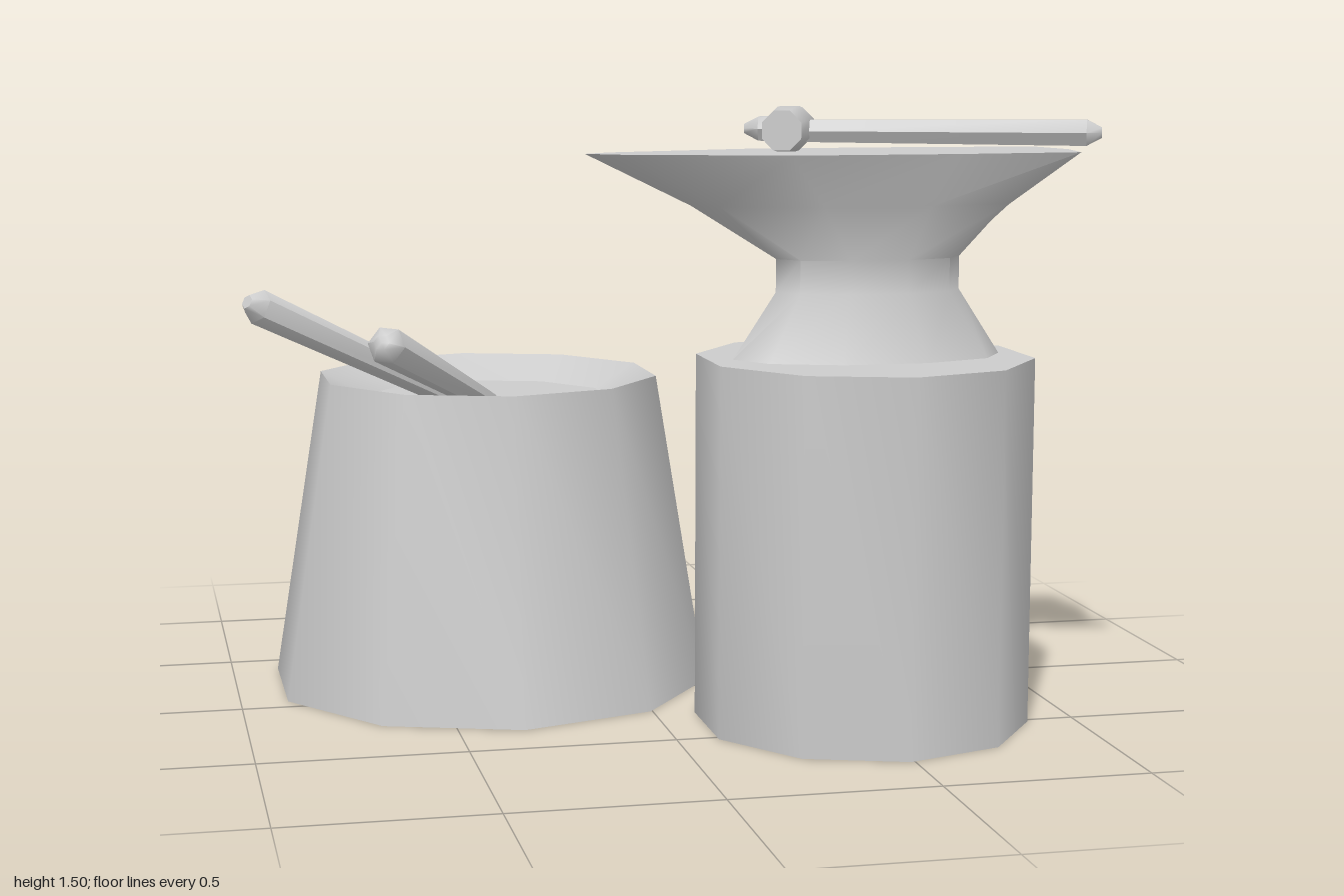
import * as THREE from 'three';
import { toCreasedNormals } from 'three/addons/utils/BufferGeometryUtils.js';

const material = new THREE.MeshStandardMaterial({ color: 0xcccccc, side: THREE.DoubleSide });
const CREASE = 1.0;

function part(name, geometry) {
  const mesh = new THREE.Mesh(toCreasedNormals(geometry, CREASE), material);
  mesh.name = name;
  return mesh;
}

// Turned shape from [radius, height] pairs
function turned(name, profile, sides) {
  const points = profile.map(([r, y]) => new THREE.Vector2(r, y));
  return part(name, new THREE.LatheGeometry(points, sides));
}

// Tapered round rod from one point to another, with a pointed far end
function rod(name, from, to, r0, r1, sides = 6) {
  const a = new THREE.Vector3(...from);
  const dir = new THREE.Vector3(...to).sub(a);
  const len = dir.length();
  const mesh = turned(name, [[0, 0], [r0, 0], [r1, len - 0.035], [r1 * 0.4, len], [0, len]], sides);
  mesh.position.copy(a);
  mesh.quaternion.setFromUnitVectors(new THREE.Vector3(0, 1, 0), dir.normalize());
  return mesh;
}

// Anvil: stacked ten-sided loops, round at the foot, horned at the face
function anvilGeometry() {
  const half = [[1.0, 0], [0.97, 0.16], [0.66, 0.19], [0.25, 0.19], [-0.13, 0.06], [-0.2, 0]];
  const face = [...half, ...half.slice(1, 5).reverse().map(([x, z]) => [x, -z])];
  const oval = (hx, hz) => face.map((_, i) => {
    const t = (i / 10) * Math.PI * 2;
    return [0.495 + hx * Math.cos(t), hz * Math.sin(t) / 0.951];
  });
  const waist = oval(0.23, 0.097);
  const flare = waist.map(([x, z], i) => [
    THREE.MathUtils.lerp(x, face[i][0], 0.45),
    THREE.MathUtils.lerp(z, face[i][1], 0.45),
  ]);
  const loops = [[oval(0.335, 0.16), 0.9], [waist, 1.06], [waist, 1.14], [flare, 1.27], [face, 1.395]];

  const positions = [];
  const index = [];
  loops.forEach(([loop, y]) => loop.forEach(([x, z]) => positions.push(x, y, 0.395 + z)));
  for (let r = 0; r < loops.length - 1; r++) {
    for (let i = 0; i < 10; i++) {
      const a = r * 10 + i;
      const b = r * 10 + (i + 1) % 10;
      index.push(a, a + 10, b, b, a + 10, b + 10);
    }
  }
  // Flat working face
  const top = (loops.length - 1) * 10;
  const centre = positions.length / 3;
  positions.push(0.45, 1.395, 0.395);
  for (let i = 0; i < 10; i++) index.push(centre, top + (i + 1) % 10, top + i);

  const geometry = new THREE.BufferGeometry();
  geometry.setAttribute('position', new THREE.Float32BufferAttribute(positions, 3));
  geometry.setIndex(index);
  return geometry;
}

function createHammer() {
  const hammer = new THREE.Group();
  hammer.name = 'hammer';
  const head = turned('hammerHead', [
    [0, -0.135], [0.05, -0.135], [0.057, -0.03], [0.057, 0.04], [0.05, 0.135], [0, 0.135],
  ], 8);
  head.geometry.rotateY(Math.PI / 8);
  head.geometry.rotateX(Math.PI / 2);
  hammer.add(head);
  // Handle runs through the head and shows as a stub behind it
  hammer.add(rod('hammerHandle', [0.03, -0.005, 0], [0.735, -0.005, 0], 0.03, 0.035));
  hammer.add(rod('handleStub', [0, 0, 0], [-0.105, 0, 0], 0.035, 0.033));
  hammer.position.set(0.295, 1.45, 0.388);
  hammer.rotation.y = -0.385;
  return hammer;
}

export function createModel() {
  const model = new THREE.Group();
  model.name = 'forgeSet';

  // Quenching tub, open below, with an inner lining
  const tub = new THREE.Group();
  tub.name = 'quenchTub';
  tub.position.set(-0.34, 0, -0.23);
  tub.add(turned('tubWall', [[0.57, 0], [0.44, 0.8], [0.32, 0.74]], 10));
  tub.add(turned('tubLining', [[0.41, 0], [0.32, 0.74]], 10));
  tub.add(turned('water', [[0.32, 0.74], [0, 0.74]], 10));
  model.add(tub);

  // Tong handles leaning out of the tub
  model.add(rod('tongHandleOuter', [-0.36, 0.71, -0.21], [-0.98, 1.045, 0.21], 0.03, 0.043));
  model.add(rod('tongHandleInner', [-0.32, 0.71, -0.27], [-0.695, 0.975, 0.505], 0.028, 0.046));

  // Stump carrying the anvil
  const stump = turned('stump', [[0.41, 0], [0.41, 0.9], [0, 0.9]], 10);
  stump.position.set(0.49, 0, 0.39);
  model.add(stump);
  model.add(part('anvil', anvilGeometry()));
  model.add(createHammer());

  return model;
}
